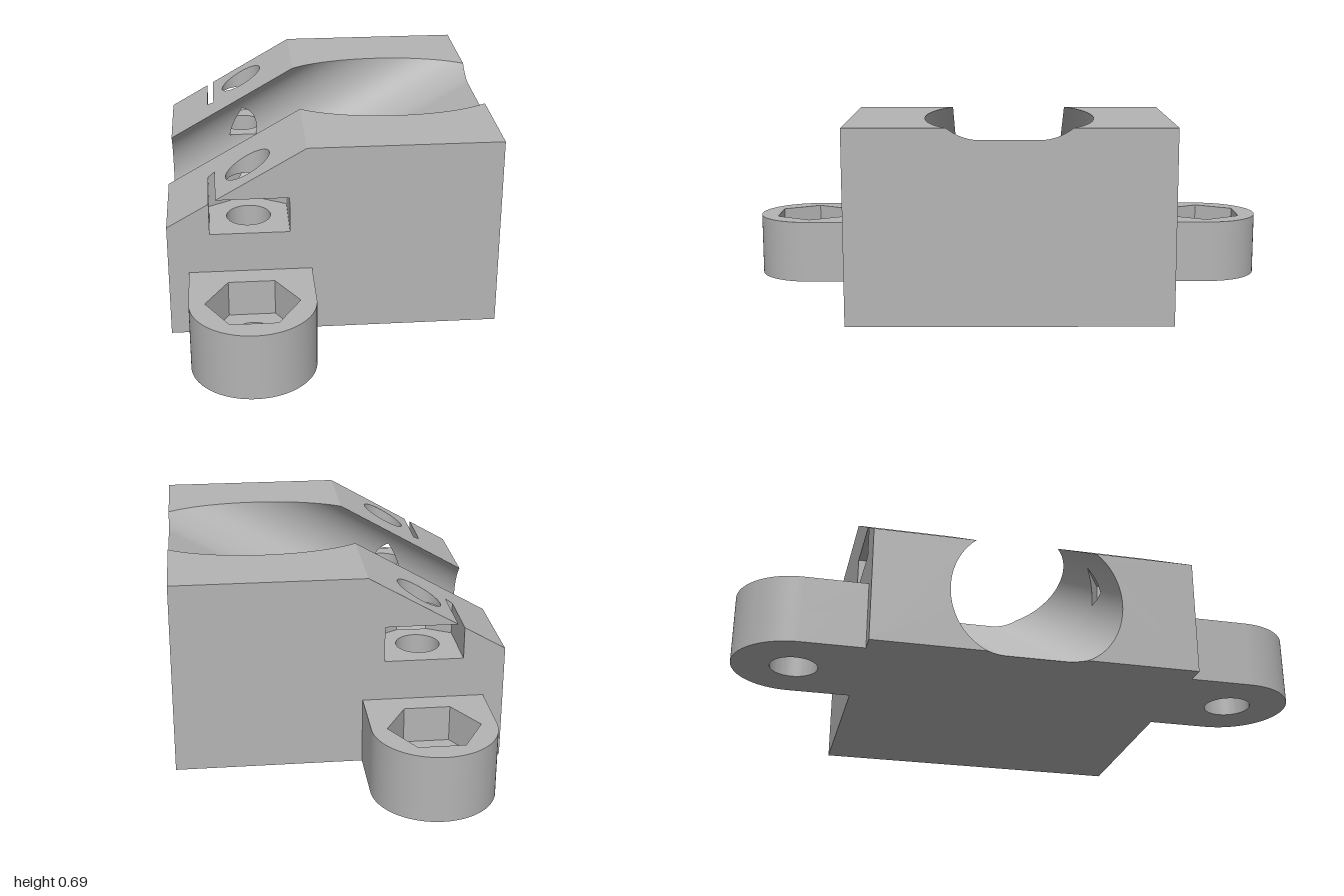
import * as THREE from 'three';
import { mergeGeometries, toCreasedNormals } from 'three/addons/utils/BufferGeometryUtils.js';

// Block: half length, half depth, height, and the 30 degree ramp
const X = 0.575, Z = 0.57, TOP = 0.69, RAMP_X = -0.095;
const M = Math.tan(Math.PI / 6), C = Math.cos(Math.PI / 6);
const rampY = (x) => TOP + (x - RAMP_X) * M;

// Groove: rounded slot profile whose axis runs parallel to the ramp, DEPTH below it
const R = 0.203, HALF_FLAT = 0.1, DEPTH = 0.1675;
const axis0 = rampY(0) - DEPTH / C;
const yAt = (x, p) => M * x + axis0 + p / C;
const xAt = (y, p) => (y - axis0 - p / C) / M;
const grooveZ = (x, y) => {
  const p = (y - axis0 - M * x) * C;
  return HALF_FLAT + Math.sqrt(Math.max(0, R * R - p * p));
};

// Fixings: nut size, screw hole radius, slot heights
const XC = -0.2925, ZC = 0.43, FLAT = 0.1375, SIDE = FLAT / Math.sqrt(3), TIP = ZC - 2 * SIDE;
const HOLE = 0.077, LOW = 0.382, HIGH = 0.51, BLIND = 0.15;
const LUG_Z = 0.7875, LUG_R = 0.2125, LUG_H = 0.238, NUT_FLOOR = 0.11;
const hexZ = (x) => TIP + Math.abs(x - XC) / Math.sqrt(3);

// Flat face: 2D outline placed in space by a rule and turned to face the given direction
function face(points, place, normal, hole) {
  const shape = new THREE.Shape(points.map(([a, b]) => new THREE.Vector2(a, b)));
  if (hole) shape.holes.push(new THREE.Path().absarc(XC, ZC, HOLE, 0, Math.PI * 2, true));
  const geo = new THREE.ShapeGeometry(shape, 32);
  const pos = geo.attributes.position;
  for (let i = 0; i < pos.count; i++) pos.setXYZ(i, ...place(pos.getX(i), pos.getY(i)));
  geo.deleteAttribute('uv');
  geo.computeVertexNormals();
  const n = new THREE.Vector3().fromBufferAttribute(geo.attributes.normal, 0);
  if (n.dot(new THREE.Vector3(...normal)) < 0) {
    geo.index.array.reverse();
    geo.computeVertexNormals();
  }
  return geo;
}

// Lines of the groove, from its floor up to the ramp, with the gap left by the nut slot
function grooveRows() {
  const pBack = (TOP - axis0 - M * X) * C, pFront = (M * X - axis0) * C;
  const end = Math.asin(DEPTH / R), n = 72;
  const angles = [Math.asin(pBack / R), Math.asin(pFront / R)];
  for (let i = 0; i <= n; i++) angles.push(-Math.PI / 2 + (end + Math.PI / 2) * i / n);
  const rows = angles.sort((a, b) => a - b).map((t) => {
    const p = R * Math.sin(t), z = HALF_FLAT + R * Math.cos(t);
    const xs = Math.max(-X, xAt(0, p)), xe = Math.min(X, xAt(TOP, p));
    const half = (z - TIP) * Math.sqrt(3);
    let lo = Math.max(XC - half, xAt(LOW, p)), hi = Math.min(XC + half, xAt(HIGH, p));
    if (lo >= hi) lo = hi = THREE.MathUtils.clamp((lo + hi) / 2, xs, xe);
    return { p, z, xs, xe, lo, hi };
  });
  return { rows, pBack, pFront };
}

function grooveSurface(rows) {
  const pos = [], idx = [];
  [{ ...rows[0], z: 0 }, ...rows].forEach((r, i) => {
    for (const x of [r.xs, r.lo, r.hi, r.xe]) pos.push(x, yAt(x, r.p), r.z);
    if (!i) return;
    for (const k of [0, 2]) {
      const a = (i - 1) * 4 + k, b = i * 4 + k;
      idx.push(a, b, a + 1, b, b + 1, a + 1);
    }
  });
  const geo = new THREE.BufferGeometry();
  geo.setAttribute('position', new THREE.Float32BufferAttribute(pos, 3));
  geo.setIndex(idx);
  geo.computeVertexNormals();
  return geo;
}

// Outer faces of one half of the block
function bodyFaces({ rows, pBack, pFront }) {
  const e = 1e-7, l = XC - FLAT, r = XC + FLAT, exit = RAMP_X + (HIGH - TOP) / M;
  const low = rows.filter((q) => q.p <= pFront + e), high = rows.filter((q) => q.p >= pFront - e);
  const back = rows.filter((q) => q.p <= pBack + e), top = rows.filter((q) => q.p >= pBack - e);
  const edge = rows[rows.length - 1].z;
  return mergeGeometries([
    face([[-X, 0], [X, 0], [X, TOP], [RAMP_X, TOP], [exit, HIGH], [r, HIGH], [r, LOW], [l, LOW],
      [l, rampY(l)], [-X, rampY(-X)]], (x, y) => [x, y, Z], [0, 0, 1]),
    face([[low[0].xs, 0], ...low.map((q) => [q.xs, q.z]), [-X, Z], [X, Z], [X, 0]],
      (x, z) => [x, 0, z], [0, -1, 0]),
    face([[0, 0], [0, yAt(X, -R)], ...back.map((q) => [q.z, yAt(X, q.p)]), [Z, TOP], [Z, 0]],
      (z, y) => [X, y, z], [1, 0, 0]),
    face([...high.map((q) => [q.z, yAt(-X, q.p)]), [Z, rampY(-X)], [Z, 0]],
      (z, y) => [-X, y, z], [-1, 0, 0]),
    face([...top.map((q) => [q.xe, q.z]), [RAMP_X, Z], [X, Z]], (x, z) => [x, TOP, z], [0, 1, 0]),
    face([[-X, edge], [RAMP_X, edge], [RAMP_X, Z], [exit, Z], [exit, hexZ(exit)], [l, hexZ(l)],
      [l, Z], [-X, Z]], (x, z) => [x, rampY(x), z], [-0.5, C, 0], true),
  ]);
}

// Side slot for a nut; its pointed end breaks into the groove
function nutSlot() {
  const l = XC - FLAT, r = XC + FLAT, exit = RAMP_X + (HIGH - TOP) / M;
  const tip = [];
  for (let i = 0; i <= 40; i++) {
    const x = l + (r - l) * i / 40;
    tip.push([x, Math.max(hexZ(x), grooveZ(x, LOW))]);
  }
  const rim = (s) => Array.from({ length: 25 }, (_, i) => {
    const y = LOW + (HIGH - LOW) * i / 24;
    let x = XC;
    for (let k = 0; k < 40; k++) x = XC + s * Math.max(0, grooveZ(x, y) - TIP) * Math.sqrt(3);
    return [x, y];
  });
  const onHex = (x, y) => [x, y, hexZ(x)];
  return mergeGeometries([
    face([...tip, [r, Z], [l, Z]], (x, z) => [x, LOW, z], [0, 1, 0], true),
    face([[exit, hexZ(exit)], [XC, TIP], [r, hexZ(r)], [r, Z], [exit, Z]],
      (x, z) => [x, HIGH, z], [0, -1, 0], true),
    face([[hexZ(r), LOW], [Z, LOW], [Z, HIGH], [hexZ(r), HIGH]], (z, y) => [r, y, z], [-1, 0, 0]),
    face([[hexZ(l), LOW], [Z, LOW], [Z, rampY(l)], [hexZ(l), rampY(l)]], (z, y) => [l, y, z], [1, 0, 0]),
    face([[l, LOW], ...rim(-1), [exit, HIGH], [l, rampY(l)]], onHex, [0.5, 0, C]),
    face([[r, LOW], ...rim(1), [r, HIGH]], onHex, [-0.5, 0, C]),
  ]);
}

// Upright screw hole: open tube from the ramp to the slot, blind tube below the slot
function screwHole() {
  const upper = new THREE.CylinderGeometry(HOLE, HOLE, 1, 64, 1, true).translate(XC, 0, ZC);
  const pos = upper.attributes.position;
  for (let i = 0; i < pos.count; i++) pos.setY(i, pos.getY(i) > 0 ? rampY(pos.getX(i)) : HIGH);
  const lower = new THREE.CylinderGeometry(HOLE, HOLE, LOW - BLIND, 64, 1, true)
    .translate(XC, (LOW + BLIND) / 2, ZC);
  const end = new THREE.CircleGeometry(HOLE, 64).rotateX(-Math.PI / 2).translate(XC, BLIND, ZC);
  return mergeGeometries([upper, lower, end]);
}

// One layer of the rounded mounting lug, cut by a given hole
function lugLayer(hole, y0, y1) {
  const s = new THREE.Shape();
  s.moveTo(XC - LUG_R, Z);
  s.lineTo(XC + LUG_R, Z);
  s.lineTo(XC + LUG_R, LUG_Z);
  s.absarc(XC, LUG_Z, LUG_R, 0, Math.PI, false);
  s.lineTo(XC - LUG_R, Z);
  s.holes.push(hole);
  const geo = new THREE.ExtrudeGeometry(s, { depth: y1 - y0, bevelEnabled: false, curveSegments: 32 });
  return toCreasedNormals(geo.rotateX(Math.PI / 2).translate(0, y1, 0), 0.5);
}

export function createModel() {
  const grey = new THREE.MeshStandardMaterial({ color: 0xb4b4b4, side: THREE.DoubleSide });
  grey.name = 'grey';
  const groove = grooveRows();

  const bore = new THREE.Path().absarc(XC, LUG_Z, 0.082, 0, Math.PI * 2, true);
  const hex = new THREE.Path(Array.from({ length: 6 }, (_, i) => new THREE.Vector2(
    XC + 2 * SIDE * Math.cos(-i * Math.PI / 3), LUG_Z + 2 * SIDE * Math.sin(-i * Math.PI / 3))));
  hex.closePath();

  const parts = {
    blockFaces: bodyFaces(groove),
    groove: grooveSurface(groove.rows),
    nutSlot: nutSlot(),
    screwHole: screwHole(),
    lugBase: lugLayer(bore, 0, NUT_FLOOR),
    lugNutPocket: lugLayer(hex, NUT_FLOOR, LUG_H),
  };

  // Two mirrored halves
  const model = new THREE.Group();
  model.name = 'clampBlock';
  for (const side of [1, -1]) {
    const half = new THREE.Group();
    half.name = side > 0 ? 'frontHalf' : 'backHalf';
    half.scale.z = side;
    for (const [name, geo] of Object.entries(parts)) {
      const mesh = new THREE.Mesh(geo, grey);
      mesh.name = name;
      half.add(mesh);
    }
    model.add(half);
  }
  return model;
}
